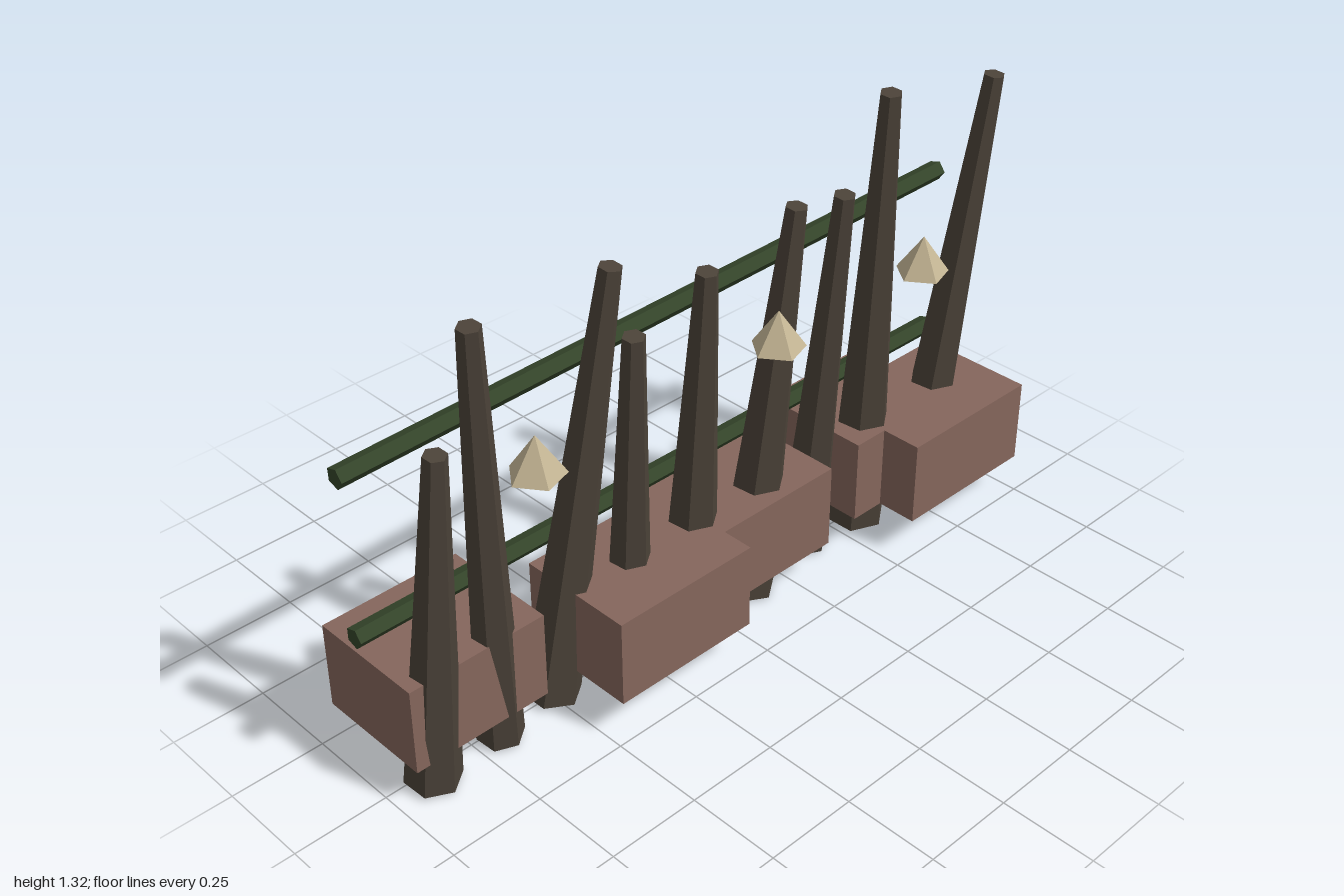
import * as THREE from 'three';

const material = (name, color) => {
  const m = new THREE.MeshStandardMaterial({ color, flatShading: true });
  m.name = name;
  return m;
};

export function createModel() {
  const group = new THREE.Group();
  const wood = material('dark wood', 0x4c4339);
  const vine = material('dark green', 0x34452a);
  const stone = material('reddish stone', 0x85665c);
  const bone = material('bone', 0xc4b594);

  const add = (name, geometry, mat) => {
    const mesh = new THREE.Mesh(geometry, mat);
    mesh.name = name;
    group.add(mesh);
    return mesh;
  };

  // Faceted bar running from point a to point b
  const bar = (name, a, b, rBottom, rTop, sides, mat, turn = 0) => {
    const from = new THREE.Vector3(...a);
    const to = new THREE.Vector3(...b);
    const axis = to.clone().sub(from);
    const geometry = new THREE.CylinderGeometry(rTop, rBottom, axis.length(), sides);
    geometry.rotateY(turn);
    const mesh = add(name, geometry, mat);
    mesh.position.copy(from).add(to).multiplyScalar(0.5);
    mesh.quaternion.setFromUnitVectors(new THREE.Vector3(0, 1, 0), axis.normalize());
  };

  // Leaning tapered stakes: base x, base z, base radius, top x, top height
  [
    [-0.885, 0.03, 0.071, -0.865, 0.95],
    [-0.68, 0.025, 0.06, -0.757, 1.21],
    [-0.49, -0.012, 0.078, -0.375, 1.2],
    [-0.273, 0.03, 0.064, -0.312, 1.0],
    [-0.053, 0.015, 0.08, -0.087, 1.075],
    [0.144, 0.025, 0.084, 0.203, 1.135],
    [0.39, 0.0, 0.07, 0.37, 1.105],
    [0.588, 0.015, 0.084, 0.52, 1.32],
    [0.832, 0.02, 0.078, 0.917, 1.247],
  ].forEach(([x, z, r, topX, topY], i) =>
    bar('stake' + (i + 1), [x, 0.012, z], [topX, topY - 0.003, 0.118], r, 0.028, 6, wood, 0.1));

  // Two rails behind the stakes
  bar('lowerRail', [-1, 0.44, -0.055], [0.935, 0.44, -0.055], 0.027, 0.027, 5, vine);
  bar('upperRail', [-1, 0.868, -0.055], [0.935, 0.914, -0.055], 0.027, 0.027, 5, vine);

  // Foundation blocks: left edge, right edge, centre z
  [
    [-0.963, -0.577, -0.08],
    [-0.475, -0.053, 0.073],
    [-0.128, 0.333, -0.015],
    [0.46, 0.78, -0.037],
    [0.562, 1, 0.077],
  ].forEach(([x0, x1, z], i) => {
    const block = add('block' + (i + 1), new THREE.BoxGeometry(x1 - x0, 0.236, 0.326), stone);
    block.position.set((x0 + x1) / 2, 0.227, z);
  });

  // Small pointed studs
  [-0.605, 0.15, 0.68].forEach((x, i) => {
    const stud = add('stud' + (i + 1), new THREE.ConeGeometry(0.07, 0.102, 5), bone);
    stud.position.set(x, 0.824, 0.12);
    stud.rotation.y = -Math.PI / 2;
  });

  return group;
}
